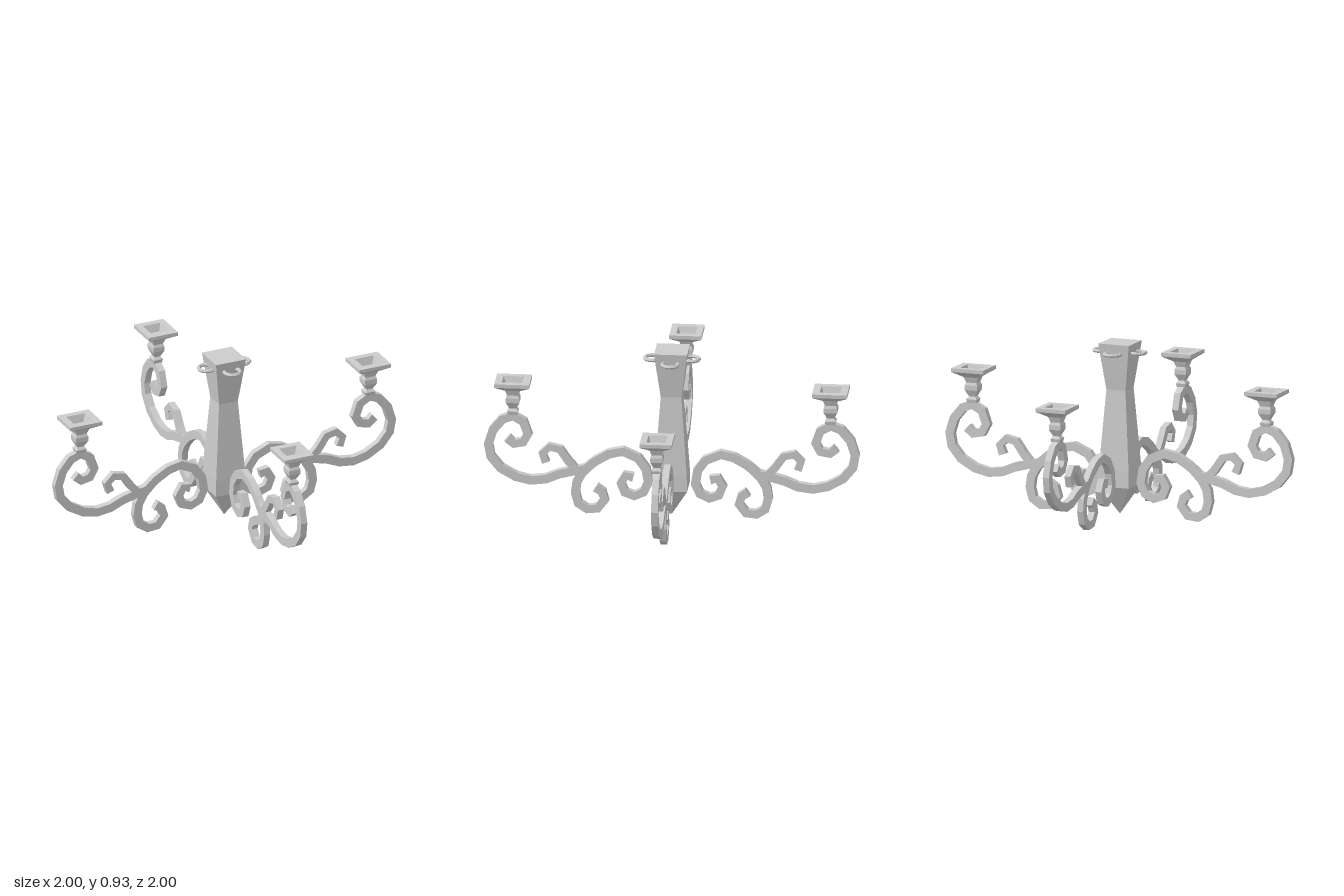
import * as THREE from 'three';

const mat = new THREE.MeshStandardMaterial({ color: 0xcccccc, flatShading: true });

function add(parent, name, geometry) {
  const mesh = new THREE.Mesh(geometry, mat);
  mesh.name = name;
  parent.add(mesh);
  return mesh;
}

// Four-sided turned shape: profile of [half width, height], listed bottom to top
function squareLathe(profile) {
  const pts = profile.map(([r, y]) => new THREE.Vector2(r * Math.SQRT2, y));
  return new THREE.LatheGeometry(pts, 4).rotateY(Math.PI / 4);
}

// Flat bar of rectangular section following a polyline in the XY plane
function bar(points, half, depth) {
  const p = points.map(([x, y]) => new THREE.Vector2(x, y));
  const left = [], right = [];
  p.forEach((c, i) => {
    const a = p[Math.max(i - 1, 0)], b = p[Math.min(i + 1, p.length - 1)];
    const d = b.clone().sub(a).normalize();
    const n = new THREE.Vector2(-d.y, d.x).multiplyScalar(half);
    left.push(c.clone().add(n));
    right.unshift(c.clone().sub(n));
  });
  const shape = new THREE.Shape([...left, ...right]);
  return new THREE.ExtrudeGeometry(shape, { depth, bevelEnabled: false }).translate(0, 0, -depth / 2);
}

// Main S-scroll, from the inner curl out to the curl under the cup
const mainScroll = [
  [0.205, 0.215], [0.245, 0.225], [0.27, 0.18], [0.25, 0.13], [0.20, 0.112], [0.15, 0.135],
  [0.125, 0.19], [0.137, 0.265], [0.18, 0.325], [0.26, 0.36], [0.33, 0.345], [0.40, 0.305],
  [0.46, 0.255], [0.53, 0.24], [0.60, 0.222], [0.67, 0.192], [0.75, 0.182], [0.83, 0.20],
  [0.91, 0.245], [0.963, 0.31], [0.975, 0.38], [0.95, 0.46], [0.90, 0.52], [0.845, 0.54],
  [0.79, 0.51], [0.765, 0.44], [0.79, 0.395], [0.84, 0.385], [0.875, 0.415],
];
const lowerCurl = [
  [0.42, 0.29], [0.475, 0.235], [0.505, 0.18], [0.513, 0.12], [0.497, 0.06], [0.45, 0.03],
  [0.395, 0.035], [0.357, 0.085], [0.372, 0.13], [0.405, 0.152],
];
const upperCurl = [
  [0.50, 0.24], [0.55, 0.295], [0.595, 0.36], [0.65, 0.372], [0.688, 0.335], [0.67, 0.285],
];

// Square candle cup with a sunken well
const cupProfile = [
  [0, 0.55], [0.025, 0.55], [0.03, 0.57], [0.018, 0.585], [0.036, 0.62], [0.036, 0.645],
  [0.029, 0.66], [0.04, 0.69], [0.093, 0.722], [0.093, 0.742], [0.055, 0.742],
  [0.04, 0.70], [0, 0.70],
];

function createArm() {
  const arm = new THREE.Group();
  arm.name = 'arm';
  add(arm, 'mainScroll', bar(mainScroll, 0.024, 0.036));
  add(arm, 'lowerCurl', bar(lowerCurl, 0.024, 0.035));
  add(arm, 'upperCurl', bar(upperCurl, 0.021, 0.035));
  const cup = add(arm, 'candleCup', squareLathe(cupProfile));
  cup.position.x = 0.845;
  cup.scale.z = 0.92;
  // Hanging ring on the column face
  const ring = add(arm, 'ring', new THREE.TorusGeometry(0.043, 0.01, 6, 14).rotateX(Math.PI / 2));
  ring.position.set(0.102, 0.89, 0);
  return arm;
}

export function createModel() {
  const model = new THREE.Group();
  model.name = 'chandelier';

  // Square tapered column with a pointed foot
  add(model, 'column', squareLathe([
    [0, 0.015], [0.088, 0.17], [0.086, 0.26], [0.055, 0.69], [0.063, 0.75], [0.088, 0.94], [0, 0.94],
  ]));

  for (let i = 0; i < 4; i++) {
    const arm = createArm();
    arm.rotation.y = i * Math.PI / 2;
    model.add(arm);
  }
  return model;
}
